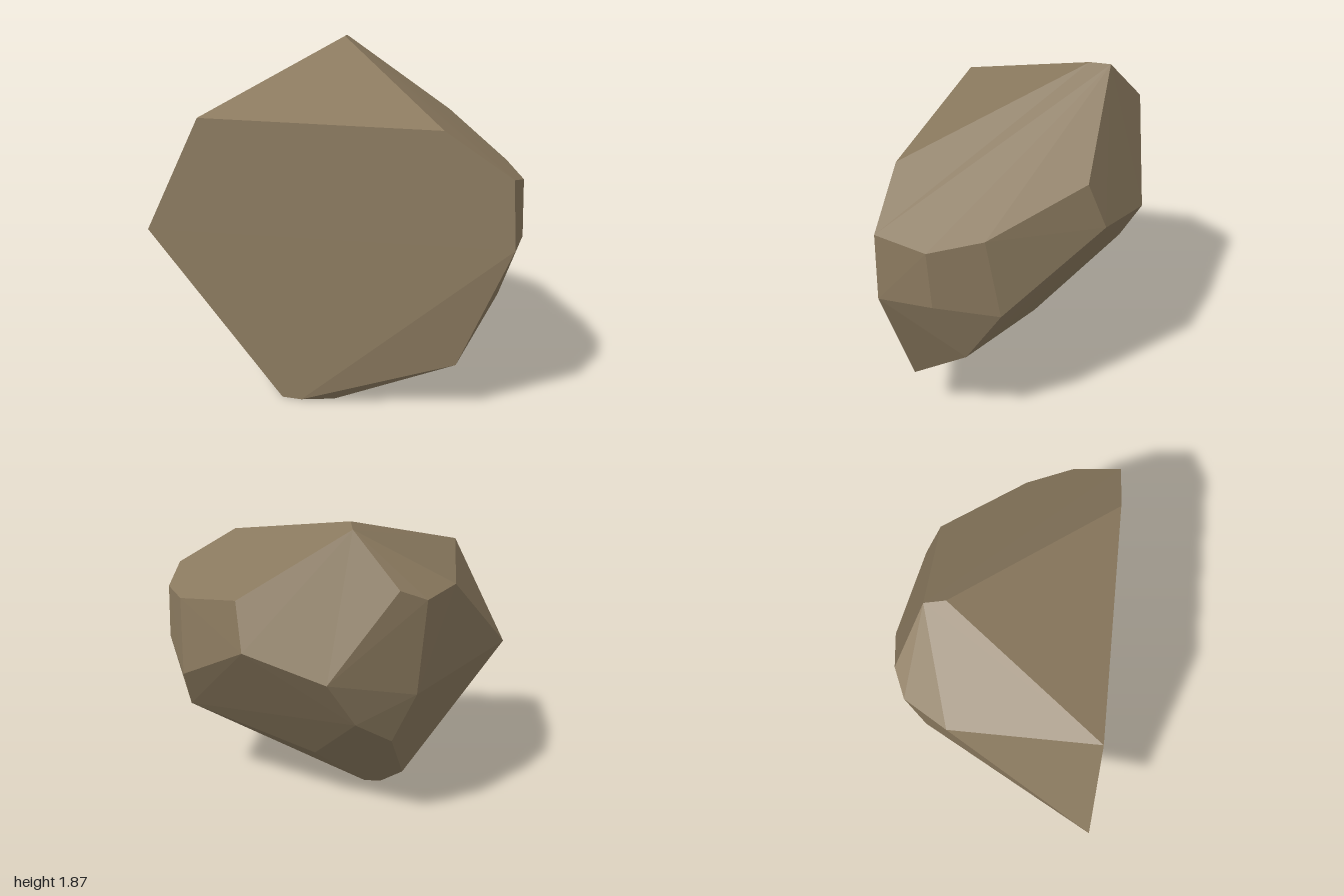
import * as THREE from 'three';
import { ConvexGeometry } from 'three/addons/geometries/ConvexGeometry.js';

// Faceted boulder: the convex hull of a few rings of corners
export function createModel() {
  const group = new THREE.Group();
  group.name = 'boulder';

  const stone = new THREE.MeshStandardMaterial({ color: 0x8b7a5f, flatShading: true });
  stone.name = 'brown stone';

  // Broad flat front
  const front = [
    [-1, 0.9, 0.58], [-0.68, 1.54, 0.58], [0.63, 1.56, 0.58], [0.98, 1.34, 0.58],
    [1, 0.98, 0.58], [0.71, 0.3, 0.53], [-0.13, 0, 0.58], [-0.24, 0, 0.58],
  ];
  // Small foot it stands on
  const foot = [[0.04, 0, 0.52], [-0.18, 0, 0.36], [-0.28, 0, 0.36], [-0.42, 0.15, 0.23]];
  // Peak and upper shoulders
  const crown = [
    [-0.13, 1.87, -0.25], [-0.15, 1.86, -0.36], [0.46, 1.46, -0.37],
    [-0.4, 1.59, -0.49], [-0.54, 1.525, -0.43], [-0.68, 1.535, -0.2],
  ];
  // Chipped +x side
  const side = [
    [0.86, 1.3, 0.06], [0.99, 1.275, 0.32], [0.995, 0.965, 0.3],
    [0.85, 0.86, -0.01], [0.86, 0.58, 0.18],
  ];
  // Back and its undercut
  const back = [
    [0.42, 1.2, -0.46], [-0.04, 1.09, -0.58], [-0.18, 0.8, -0.44],
    [0.09, 0.38, 0], [-0.5, 0.96, -0.36], [-0.37, 0.64, -0.3],
  ];

  const corners = [...front, ...foot, ...crown, ...side, ...back]
    .map((p) => new THREE.Vector3(...p));
  const rock = new THREE.Mesh(new ConvexGeometry(corners), stone);
  rock.name = 'rock';
  group.add(rock);
  return group;
}
